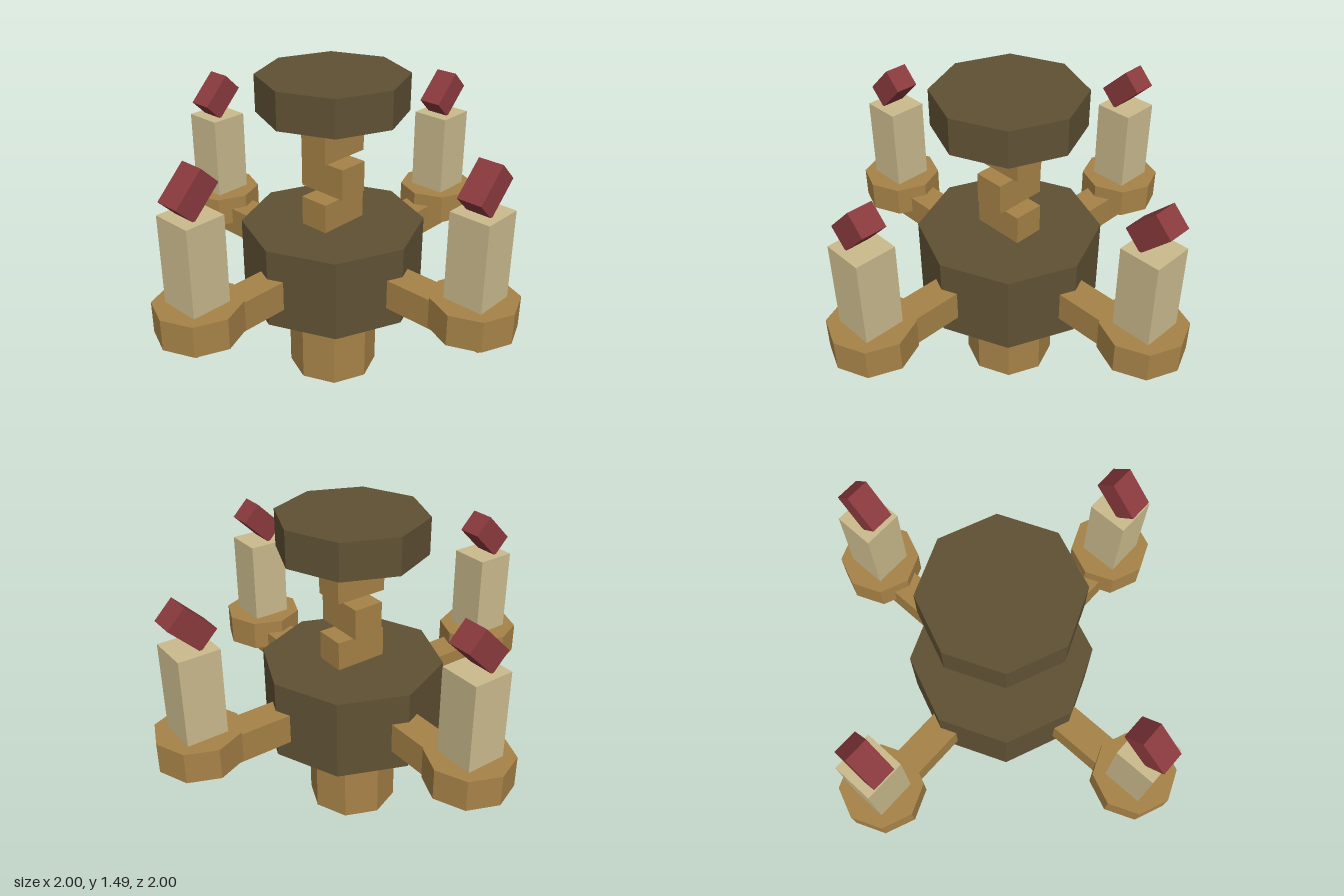
import * as THREE from 'three';

const paint = (name, color) => {
  const m = new THREE.MeshStandardMaterial({ color, flatShading: true });
  m.name = name;
  return m;
};

export function createModel() {
  const brass = paint('brass', 0xa68247);
  const darkWood = paint('dark wood', 0x605134);
  const wax = paint('wax', 0xcaba8d);
  const flameRed = paint('flame red', 0x8a3a3d);

  const model = new THREE.Group();
  model.name = 'candleChandelier';

  const add = (parent, name, geometry, material, x, y, z) => {
    const mesh = new THREE.Mesh(geometry, material);
    mesh.name = name;
    mesh.position.set(x, y, z);
    parent.add(mesh);
    return mesh;
  };
  // Upright octagonal prism and box, both given by their bottom and top heights
  const octagon = (parent, name, mat, r, y0, y1, x = 0, z = 0) =>
    add(parent, name, new THREE.CylinderGeometry(r, r, y1 - y0, 8), mat, x, (y0 + y1) / 2, z);
  const box = (parent, name, mat, w, d, y0, y1, x = 0, z = 0) =>
    add(parent, name, new THREE.BoxGeometry(w, y1 - y0, d), mat, x, (y0 + y1) / 2, z);

  // Central column
  octagon(model, 'lowerStem', brass, 0.212, 0, 0.385);
  octagon(model, 'hub', darkWood, 0.425, 0.408, 0.79);
  octagon(model, 'ceilingPlate', darkWood, 0.34, 1.322, 1.492);

  // Chain links, alternately turned a quarter
  for (let i = 0; i < 3; i++) {
    const y = 0.855 + i * 0.17;
    const link = box(model, 'chainLink', brass, 0.252, 0.145, y - 0.073, y + 0.073);
    if (i === 1) link.rotation.y = Math.PI / 2;
  }

  // Four arms, each with a cup, a candle and a flame
  const reach = 0.808;
  for (let i = 0; i < 4; i++) {
    const angle = i * Math.PI / 2;
    const branch = new THREE.Group();
    branch.name = 'candleArm';
    branch.rotation.y = angle;
    model.add(branch);
    box(branch, 'arm', brass, 0.59, 0.143, 0.506, 0.649, 0.595);
    octagon(branch, 'cup', brass, 0.191, 0.568, 0.711, reach);
    box(branch, 'candle', wax, 0.187, 0.187, 0.7, 1.108, reach);

    // Every flame leans the same way, whatever the arm's direction
    const flame = add(model, 'flame', new THREE.BoxGeometry(0.113, 0.185, 0.113), flameRed,
      Math.cos(angle) * reach, 1.207, -Math.sin(angle) * reach);
    flame.rotation.z = -Math.PI / 4;
  }
  return model;
}
